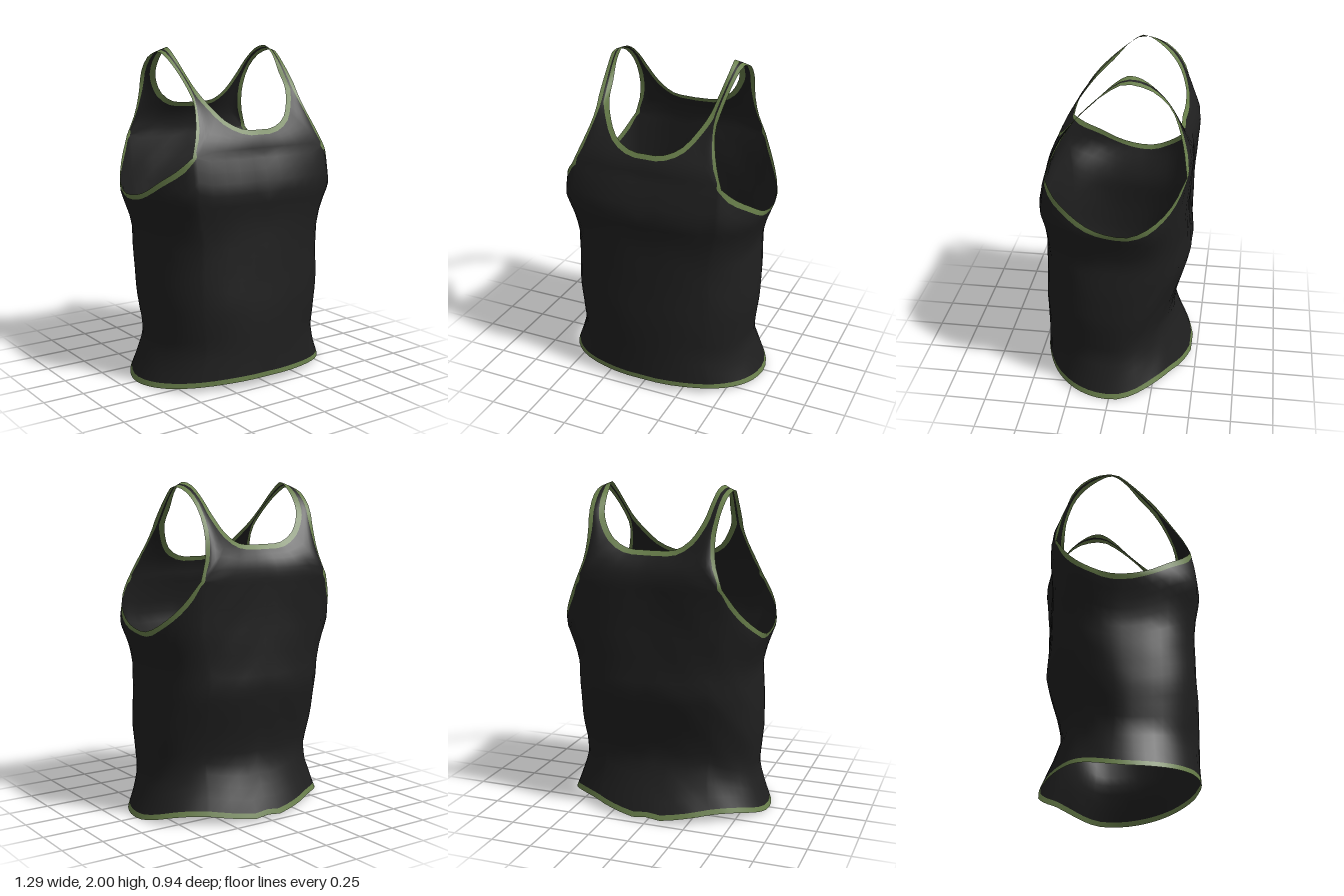
import * as THREE from 'three';
import { mergeVertices } from 'three/addons/utils/BufferGeometryUtils.js';

const V = (x, y, z) => new THREE.Vector3(x, y, z);
const curve = (pts) => new THREE.CatmullRomCurve3(pts.map((p) => V(...p)));
const sample = (c, n, from = 0, to = 1) =>
  Array.from({ length: n + 1 }, (_, i) => c.getPointAt(from + ((to - from) * i) / n));

// linear lookup in a [y, value] profile
function lookup(table, y) {
  let i = 1;
  while (i < table.length - 1 && table[i][0] < y) i++;
  const [y0, a] = table[i - 1], [y1, b] = table[i];
  return a + (b - a) * THREE.MathUtils.clamp((y - y0) / (y1 - y0), 0, 1);
}

// half width, front and back depth, front and back squareness of the torso by height
const WIDTH = [[0, 0.648], [0.12, 0.6], [0.25, 0.558], [0.5, 0.58], [0.7, 0.575], [0.9, 0.558], [1.0, 0.58], [1.15, 0.632], [1.4, 0.6]];
const FRONT = [[0, 0.472], [0.5, 0.465], [0.9, 0.447], [1.02, 0.448], [1.18, 0.475], [1.3, 0.443], [1.4, 0.405]];
const BACK = [[0, 0.475], [0.1, 0.435], [0.2, 0.39], [0.35, 0.338], [0.5, 0.36], [0.8, 0.442], [0.95, 0.43], [1.2, 0.423], [1.45, 0.435]];
const FRONT_SQUARE = [[0, 2.1], [0.3, 2.3], [0.6, 2.5], [1, 2.6]];
const BACK_SQUARE = [[0, 2], [0.35, 2.05], [0.6, 2.4], [1, 2.6]];
const TRIM = 0.03;
const OVER = 24, UNDER = 18;
// seam stations, the last one a trim's width from the armhole
const STATIONS = [0, 0.19, 0.38, 0.57, 0.76, 0.945, 1];
const SEAM = STATIONS.length - 1;

// unit direction of a polyline at point i
const tangent = (pts, i) =>
  pts[Math.min(i + 1, pts.length - 1)].clone().sub(pts[Math.max(i - 1, 0)]).normalize();
// trim length along a direction that crosses the edge obliquely
const bandLength = (edge, dir) => TRIM / Math.max(0.45, edge.clone().cross(dir).length());
// the armhole trim tapers to a point along the seams
const isTaper = (i, length) => i === SEAM - 1 || i === SEAM + length + 1;
const TAPER = 0.15;

export function createModel() {
  const fabric = new THREE.MeshStandardMaterial({ color: 0x1f1f1f, side: THREE.DoubleSide });
  fabric.name = 'black fabric';
  const green = new THREE.MeshStandardMaterial({ color: 0x687e4a, side: THREE.DoubleSide });
  green.name = 'green trim';

  // left half curves: chest seam, back seam, armhole below and above, neckline
  const chestSeam = curve([[0, 1.4, 0.405], [0.2, 1.4, 0.41], [0.36, 1.4, 0.4], [0.475, 1.4, 0.382]]);
  const backSeam = curve([[0, 1.45, -0.43], [0.16, 1.45, -0.442], [0.32, 1.45, -0.447], [0.45, 1.45, -0.422]]);
  const chest = STATIONS.map((s) => chestSeam.getPointAt(s));
  const back = STATIONS.map((s) => backSeam.getPointAt(s)).reverse();
  const under = sample(curve([[0.475, 1.4, 0.382], [0.535, 1.33, 0.33], [0.6, 1.25, 0.22], [0.628, 1.18, 0.1], [0.634, 1.148, -0.03],
    [0.63, 1.15, -0.13], [0.595, 1.21, -0.25], [0.53, 1.31, -0.35], [0.45, 1.45, -0.422]]), UNDER);
  const over = sample(curve([[0.475, 1.4, 0.382], [0.435, 1.5, 0.352], [0.395, 1.62, 0.293], [0.38, 1.7, 0.245], [0.385, 1.77, 0.19],
    [0.4, 1.9, 0.05], [0.415, 1.97, -0.06], [0.415, 1.965, -0.14], [0.41, 1.93, -0.23], [0.4, 1.84, -0.32],
    [0.39, 1.71, -0.37], [0.405, 1.58, -0.4], [0.45, 1.45, -0.422]]), OVER);
  const neck = curve([[0, 1.53, 0.365], [0.09, 1.532, 0.36], [0.2, 1.58, 0.325], [0.28, 1.68, 0.25], [0.32, 1.76, 0.18],
    [0.335, 1.84, 0.1], [0.355, 1.95, 0], [0.355, 2, -0.08], [0.337, 1.98, -0.15], [0.325, 1.91, -0.24],
    [0.305, 1.82, -0.31], [0.24, 1.71, -0.355], [0.15, 1.65, -0.362], [0, 1.64, -0.357]]);

  // torso: columns from the hem up to the chest seam and the armhole
  const top = [...chest, ...under.slice(1), ...back.slice(1)];
  const ROWS = 22;
  const up = V(0, 1, 0);
  const torso = top.map((t, i) => {
    const dx = t.x / 0.635, dz = t.z / 0.45;
    const ring = (y) => {
      const n = lookup(dz > 0 ? FRONT_SQUARE : BACK_SQUARE, y);
      const k = (Math.abs(dx) ** n + Math.abs(dz) ** n) ** (-1 / n);
      const px = dx * k, pz = dz * k;
      const fold = 1 + 0.006 * Math.sin(y * 17 + px * 6) * Math.sin(px * 9 + pz * 5 + y * 4);
      return V(px * lookup(WIDTH, y) * (px > 0.95 ? 1 : fold), y, pz * lookup(pz > 0 ? FRONT : BACK, y) * fold);
    };
    const q = Math.min(1, (ring(0).z / 0.475) ** 2);
    const notch = 0.015 * Math.exp(-((t.x / 0.06) ** 2));
    const hem = t.z > 0 ? 0.003 + 0.047 * q : 0.003 + 0.012 * q + 0.2 * q * (1 - q) + notch;
    const shift = t.clone().sub(ring(t.y));
    let band = TRIM;
    if (i > SEAM && i < SEAM + UNDER) band = bandLength(tangent(top, i), up);
    if (isTaper(i, UNDER)) band *= TAPER;
    return Array.from({ length: ROWS + 1 }, (_, j) => {
      let y = hem + TRIM + ((t.y - hem - TRIM - band) * (j - 1)) / (ROWS - 2);
      if (j === 0) y = hem;
      if (j === ROWS) y = t.y;
      const v = (y - hem) / (t.y - hem);
      return ring(y).addScaledVector(shift, v ** 3);
    });
  });

  // yoke: from the chest seam over the shoulder strap to the back seam
  const outer = [...chest, ...over.slice(1), ...back.slice(1)];
  const inner = [
    ...STATIONS.map((s) => neck.getPointAt(s * 0.2)),
    ...sample(neck, OVER, 0.2, 0.83).slice(1),
    ...STATIONS.map((s) => neck.getPointAt(1 - s * 0.17)).reverse().slice(1),
  ];
  const COLS = 7;
  const yoke = outer.map((a, i) => {
    const b = inner[i], width = a.distanceTo(b);
    const dir = b.clone().sub(a).normalize();
    const taper = isTaper(i, OVER) ? TAPER : 1;
    const first = taper * Math.min(0.4, bandLength(tangent(outer, i), dir) / width);
    const last = Math.min(0.4, bandLength(tangent(inner, i), dir) / width);
    const bulge = (a.z > 0 ? 0.09 : -0.15) * Math.max(0, width - 0.06);
    return Array.from({ length: COLS + 1 }, (_, j) => {
      let w = first + ((1 - first - last) * (j - 1)) / (COLS - 2);
      if (j === 0) w = 0;
      if (j === COLS) w = 1;
      const p = a.clone().lerp(b, w);
      p.z += bulge * Math.sin(Math.PI * w);
      return p;
    });
  });

  // collect mirrored quads for each named part
  const parts = { torso: [], yokeAndStraps: [], hemTrim: [], armholeTrim: [], neckTrim: [] };
  function addGrid(grid, partOf) {
    for (let i = 0; i < grid.length - 1; i++) {
      for (let j = 0; j < grid[i].length - 1; j++) {
        const a = grid[i][j], b = grid[i + 1][j], c = grid[i + 1][j + 1], d = grid[i][j + 1];
        const list = parts[partOf(i, j)];
        for (const p of [a, b, c, a, c, d]) list.push(p.x, p.y, p.z);
        for (const p of [a, c, b, a, d, c]) list.push(-p.x, p.y, p.z);
      }
    }
  }
  // the armhole trim includes the small cells where the seams meet it
  const atArmhole = (i, length) => i >= SEAM - 1 && i <= SEAM + length;
  addGrid(torso, (i, j) => {
    if (j === 0) return 'hemTrim';
    return j === ROWS - 1 && atArmhole(i, UNDER) ? 'armholeTrim' : 'torso';
  });
  addGrid(yoke, (i, j) => {
    if (j === COLS - 1) return 'neckTrim';
    return j === 0 && atArmhole(i, OVER) ? 'armholeTrim' : 'yokeAndStraps';
  });

  // weld everything once so that shading runs smoothly across the parts
  const all = new THREE.BufferGeometry();
  all.setAttribute('position', new THREE.Float32BufferAttribute(Object.values(parts).flat(), 3));
  const welded = mergeVertices(all, 1e-4);
  welded.computeVertexNormals();
  const index = Array.from(welded.index.array);

  const model = new THREE.Group();
  model.name = 'tankTop';
  let start = 0;
  for (const [name, list] of Object.entries(parts)) {
    const count = list.length / 3;
    const geometry = new THREE.BufferGeometry();
    geometry.setAttribute('position', welded.attributes.position);
    geometry.setAttribute('normal', welded.attributes.normal);
    geometry.setIndex(index.slice(start, start + count));
    start += count;
    const mesh = new THREE.Mesh(geometry, name.endsWith('Trim') ? green : fabric);
    mesh.name = name;
    model.add(mesh);
  }
  return model;
}
